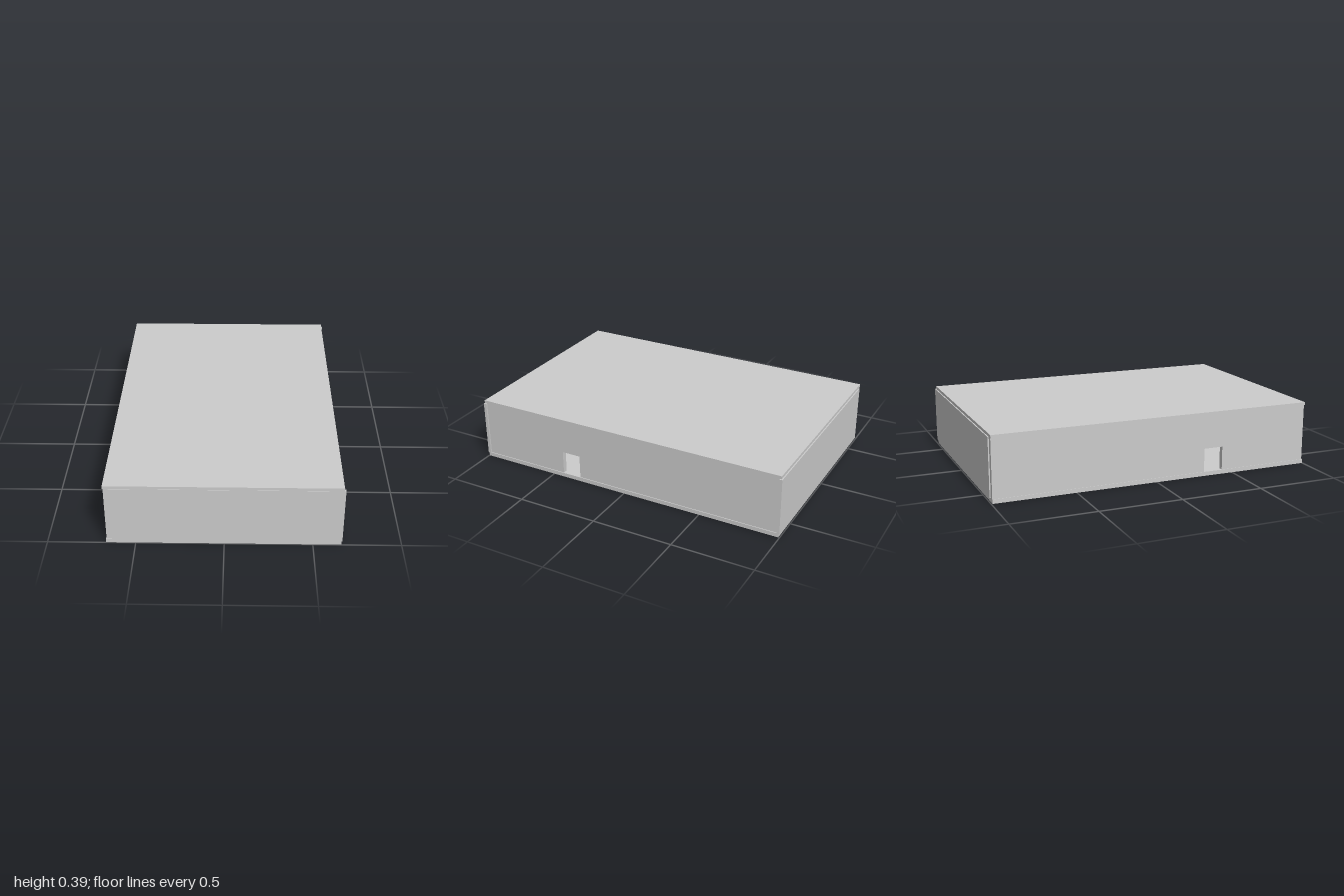
import * as THREE from 'three';

const material = new THREE.MeshStandardMaterial({ color: 0xcccccc, flatShading: true });

// Flat slab given by its min and max corners
function slab(name, [x0, y0, z0], [x1, y1, z1]) {
  const geometry = new THREE.BoxGeometry(x1 - x0, y1 - y0, z1 - z0);
  geometry.translate((x0 + x1) / 2, (y0 + y1) / 2, (z0 + z1) / 2);
  const mesh = new THREE.Mesh(geometry, material);
  mesh.name = name;
  return mesh;
}

const FLOOR = 0.025, CEILING = 0.372, TOP = 0.39;

// Long wall with a doorway, outlined in (z, y) and extruded along x
function sideWall(name, x0, x1, halfLength) {
  const doorBack = 0.31, doorFront = 0.43, doorTop = 0.168;
  const outline = new THREE.Shape([
    [-halfLength, FLOOR], [doorBack, FLOOR], [doorBack, doorTop], [doorFront, doorTop],
    [doorFront, FLOOR], [halfLength, FLOOR], [halfLength, CEILING], [-halfLength, CEILING],
  ].map(([z, y]) => new THREE.Vector2(-z, y)));
  const geometry = new THREE.ExtrudeGeometry(outline, { depth: x1 - x0, bevelEnabled: false });
  geometry.rotateY(Math.PI / 2).translate(x0, 0, 0);
  const mesh = new THREE.Mesh(geometry, material);
  mesh.name = name;
  return mesh;
}

export function createModel() {
  const model = new THREE.Group();
  model.name = 'hollowBuilding';

  // Floor and roof slabs
  model.add(slab('floor', [-0.667, 0, -0.993], [0.66, FLOOR, 0.998]));
  model.add(slab('roof', [-0.667, CEILING, -0.993], [0.657, TOP, 0.998]));

  // End walls, lapping over the left side wall and butting against the right one
  model.add(slab('frontWall', [-0.634, FLOOR, 0.982], [0.665, CEILING, 1]));
  model.add(slab('backWall', [-0.634, FLOOR, -1], [0.665, CEILING, -0.982]));

  // Side walls with facing doorways
  model.add(sideWall('leftWall', 0.625, 0.655, 0.982));
  model.add(sideWall('rightWall', -0.664, -0.634, 0.993));

  return model;
}
